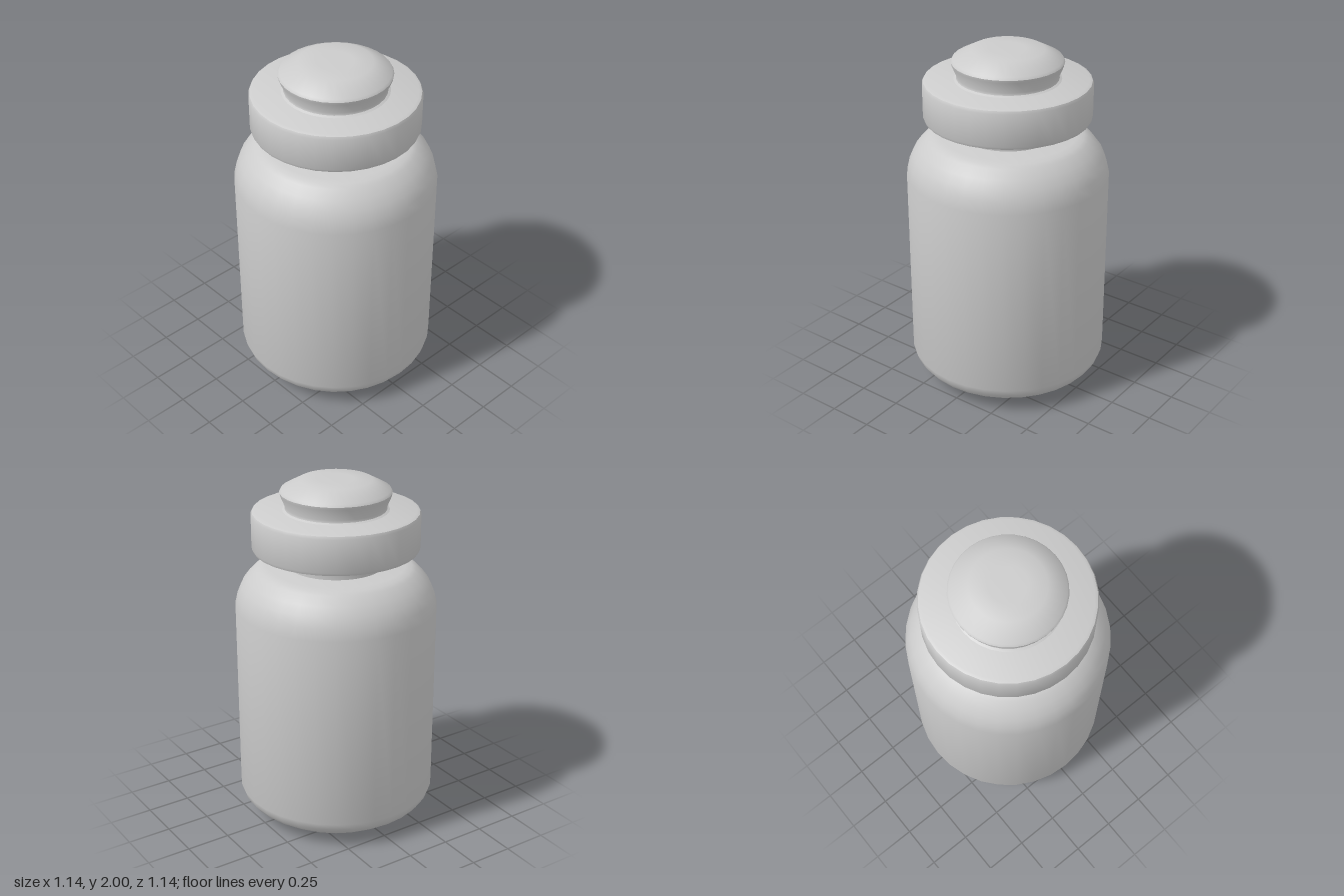
import * as THREE from 'three';
import { toCreasedNormals } from 'three/addons/utils/BufferGeometryUtils.js';

const SIDES = 32;
const material = new THREE.MeshStandardMaterial({ color: 0xcccccc });

// Turn a profile of [radius, height] pairs, listed bottom to top, into a named part
function turned(name, profile) {
  const points = profile.map(([r, y]) => new THREE.Vector2(r, y));
  const geometry = toCreasedNormals(new THREE.LatheGeometry(points, SIDES), 0.7);
  const mesh = new THREE.Mesh(geometry, material);
  mesh.name = name;
  return mesh;
}

export function createModel() {
  const jar = new THREE.Group();
  jar.name = 'stopperedJar';

  // Body with chamfered foot and rounded shoulder
  jar.add(turned('body', [
    [0, 0], [0.38, 0], [0.41, 0.012], [0.44, 0.03], [0.53, 0.092], [0.555, 0.125], [0.568, 0.165],
    [0.568, 1.28], [0.553, 1.345], [0.53, 1.4], [0.495, 1.447], [0.45, 1.492], [0.425, 1.506], [0.39, 1.515],
    [0, 1.515],
  ]));

  // Neck flaring into the underside of the collar
  jar.add(turned('neck', [
    [0.275, 1.51], [0.275, 1.575], [0.28, 1.593], [0.295, 1.605],
  ]));

  // Wide collar with softened rims
  jar.add(turned('collar', [
    [0, 1.604], [0.445, 1.604], [0.461, 1.609], [0.468, 1.625],
    [0.468, 1.808], [0.461, 1.823], [0.445, 1.83], [0, 1.83],
  ]));

  // Stopper knob, undercut below and domed above
  jar.add(turned('stopperKnob', [
    [0.295, 1.83], [0.282, 1.837], [0.279, 1.85], [0.306, 1.915], [0.309, 1.93], [0.3, 1.944],
    [0.2, 1.997], [0.1, 2], [0, 2],
  ]));

  return jar;
}
